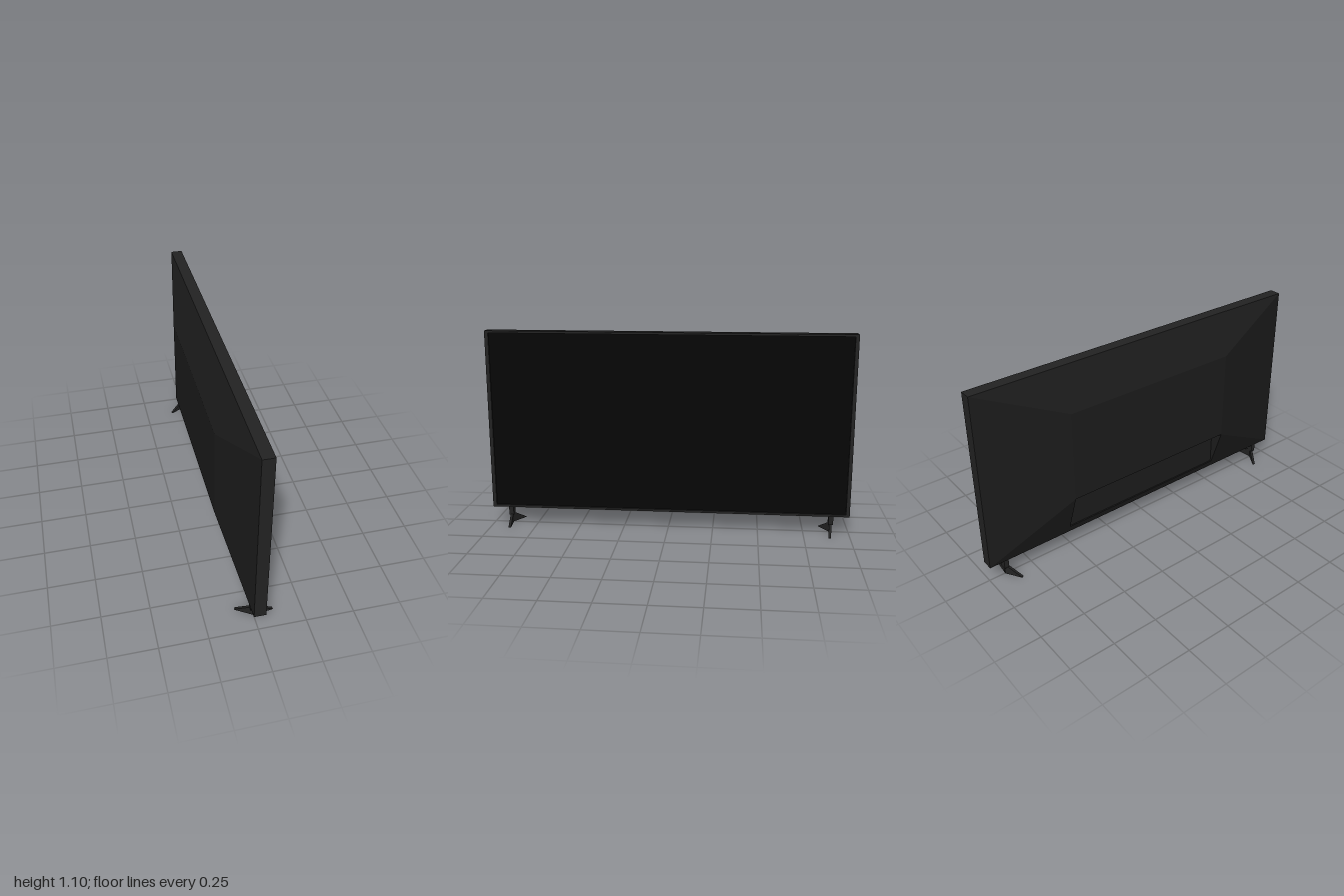
import * as THREE from 'three';

const dark = new THREE.MeshStandardMaterial({ color: 0x222222, flatShading: true });
const shellMat = new THREE.MeshStandardMaterial({ color: 0x1c1c1c, flatShading: true, side: THREE.DoubleSide });
const black = new THREE.MeshStandardMaterial({ color: 0x060606 });

const FRONT = 0.037, REAR = -0.025, HUMP = -0.11;
const BOTTOM = 0.1, TOP = 1.1, MID = (BOTTOM + TOP) / 2;

function addMesh(parent, name, geometry, material) {
  const mesh = new THREE.Mesh(geometry, material);
  mesh.name = name;
  parent.add(mesh);
  return mesh;
}

// Flat faces from lists of corners, each fanned into triangles
function facesGeometry(faces) {
  const pos = [];
  for (const f of faces)
    for (let i = 1; i < f.length - 1; i++) pos.push(...f[0], ...f[i], ...f[i + 1]);
  const g = new THREE.BufferGeometry();
  g.setAttribute('position', new THREE.Float32BufferAttribute(pos, 3));
  g.computeVertexNormals();
  return g;
}

function rectangle(Path, w, h) {
  return new Path([[-w, -h], [w, -h], [w, h], [-w, h]].map(([x, y]) => new THREE.Vector2(x, y)));
}

// Tapered rear housing with a recessed connection bay in its lower slope
function rearHousing() {
  const zh = 0.515, yLow = 0.365, yHigh = 0.875;
  const rim = (y, z) => [REAR, y, z];
  const hump = (y, z) => [HUMP, y, z];
  const ledgeY = 0.14, wallX = -0.03;
  const lipX = REAR + (HUMP - REAR) * (ledgeY - BOTTOM) / (yLow - BOTTOM);
  const faces = [
    [hump(yLow, -zh), hump(yLow, zh), hump(yHigh, zh), hump(yHigh, -zh)],
    [rim(TOP, -1), hump(yHigh, -zh), hump(yHigh, zh), rim(TOP, 1)],
    [rim(BOTTOM, -1), hump(yLow, -zh), hump(yHigh, -zh), rim(TOP, -1)],
    [rim(BOTTOM, 1), rim(TOP, 1), hump(yHigh, zh), hump(yLow, zh)],
    // lower slope on both sides of the bay
    [rim(BOTTOM, -1), rim(BOTTOM, -zh), hump(yLow, -zh)],
    [rim(BOTTOM, 1), hump(yLow, zh), rim(BOTTOM, zh)],
    // bay wall, ceiling, ledge and lip
    [[wallX, ledgeY, -zh], [wallX, ledgeY, zh], [wallX, yLow, zh], [wallX, yLow, -zh]],
    [hump(yLow, -zh), [wallX, yLow, -zh], [wallX, yLow, zh], hump(yLow, zh)],
    [[lipX, ledgeY, -zh], [lipX, ledgeY, zh], [wallX, ledgeY, zh], [wallX, ledgeY, -zh]],
    [rim(BOTTOM, -zh), rim(BOTTOM, zh), [lipX, ledgeY, zh], [lipX, ledgeY, -zh]],
    // bay ends
    [[lipX, ledgeY, -zh], [wallX, ledgeY, -zh], [wallX, yLow, -zh], hump(yLow, -zh)],
    [[lipX, ledgeY, zh], hump(yLow, zh), [wallX, yLow, zh], [wallX, ledgeY, zh]],
  ];
  return facesGeometry(faces);
}

// Wedge blade running from the post to a toe, turned to its splay angle
function addToe(foot, name, dx, dz) {
  const len = Math.hypot(dx, dz), t = 0.014;
  const wedge = new THREE.Shape([[0, 0], [len, 0], [len, 0.003], [0.018, 0.05], [0, 0.05]]
    .map(([x, y]) => new THREE.Vector2(x, y)));
  const g = new THREE.ExtrudeGeometry(wedge, { depth: t, bevelEnabled: false });
  g.translate(0, 0, -t / 2);
  addMesh(foot, name, g, dark).rotation.y = Math.atan2(-dz, dx);
}

function createFoot(side) {
  const foot = new THREE.Group();
  foot.name = side > 0 ? 'footPositiveZ' : 'footNegativeZ';
  const post = new THREE.BoxGeometry(0.036, 0.062, 0.026);
  post.translate(0, 0.077, 0);
  addMesh(foot, 'post', post, dark);
  addToe(foot, 'frontToe', 0.105, -side * 0.012);
  addToe(foot, 'backToe', -0.084, -side * 0.052);
  foot.position.z = side * 0.902;
  return foot;
}

export function createModel() {
  const model = new THREE.Group();
  model.name = 'television';

  // Outer frame, open at the front for the inset screen
  const outline = rectangle(THREE.Shape, 1, 0.5);
  outline.holes.push(rectangle(THREE.Path, 0.98, 0.488));
  const frame = new THREE.ExtrudeGeometry(outline, { depth: FRONT - REAR, bevelEnabled: false });
  frame.rotateY(Math.PI / 2);
  frame.translate(REAR, MID, 0);
  addMesh(model, 'frame', frame, dark);

  const screen = new THREE.BoxGeometry(0.04, 0.976, 1.96);
  screen.translate(0.008, MID, 0);
  addMesh(model, 'screen', screen, black);

  addMesh(model, 'rearHousing', rearHousing(), shellMat);

  for (const side of [-1, 1]) model.add(createFoot(side));
  return model;
}
